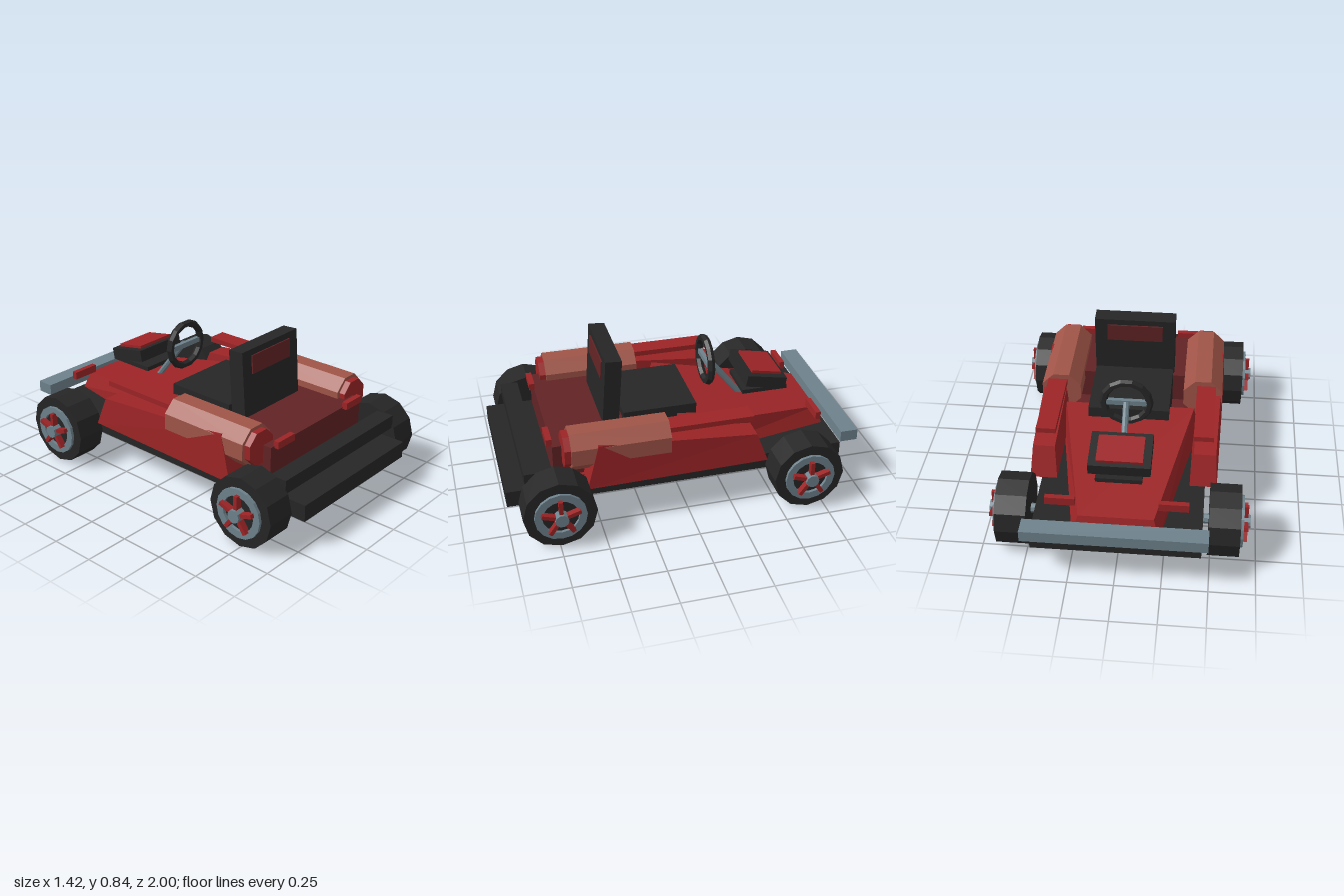
import * as THREE from 'three';

const paint = (name, color) => new THREE.MeshStandardMaterial({ name, color, flatShading: true });

export function createModel() {
  const red = paint('red', 0x9c2426);
  const darkRed = paint('dark red', 0x622325);
  const salmon = paint('faded red', 0xa05447);
  const black = paint('black', 0x262626);
  const grey = paint('steel grey', 0x6e828c);
  const kart = new THREE.Group();
  kart.name = 'goKart';

  const add = (name, geo, mat, x = 0, y = 0, z = 0, parent = kart) => {
    const m = new THREE.Mesh(geo, mat);
    m.name = name;
    m.position.set(x, y, z);
    parent.add(m);
    return m;
  };
  // Box given by its limits on each axis
  const box = (name, mat, [x0, x1], [y0, y1], [z0, z1], parent = kart) =>
    add(name, new THREE.BoxGeometry(x1 - x0, y1 - y0, z1 - z0), mat,
      (x0 + x1) / 2, (y0 + y1) / 2, (z0 + z1) / 2, parent);
  // Six-sided block whose corners are placed by a rule of its unit-box corner signs
  const block = (name, mat, rule) => {
    const geo = new THREE.BoxGeometry(2, 2, 2);
    const p = geo.attributes.position;
    for (let i = 0; i < p.count; i++) p.setXYZ(i, ...rule(p.getX(i), p.getY(i), p.getZ(i)));
    geo.computeVertexNormals();
    return add(name, geo, mat);
  };
  // Cylinder lying along x
  const axial = (name, mat, r, length, sides, x, parent) => {
    const m = add(name, new THREE.CylinderGeometry(r, r, length, sides), mat, x, 0, 0, parent);
    m.rotation.z = -Math.PI / 2;
    return m;
  };

  // Chassis, bumpers and body
  box('chassis', black, [-0.455, 0.455], [0.16, 0.255], [-0.915, 1]);
  box('noseBumper', grey, [-0.49, 0.49], [0.285, 0.35], [-1, -0.9]);
  box('tailBumper', black, [-0.49, 0.49], [0.298, 0.375], [0.8, 0.9]);
  box('bodyBase', red, [-0.42, 0.42], [0.255, 0.275], [0.02, 0.72]);
  box('floor', darkRed, [-0.4, 0.4], [0.275, 0.29], [0, 0.32]);
  box('engineCover', darkRed, [-0.4, 0.4], [0.275, 0.465], [0.3, 0.73]);
  block('nose', red, (sx, sy, sz) => {
    const top = sy > 0;
    if (sz > 0) return [sx * (top ? 0.37 : 0.4), top ? 0.46 : 0.257, top ? -0.01 : 0.04];
    return [sx * (top ? 0.2 : 0.23), top ? 0.355 : 0.257, top ? -0.855 : -0.89];
  });

  for (const s of [1, -1]) {
    const side = s > 0 ? 'left' : 'right';
    const span = (a, b) => (s > 0 ? [a, b] : [-b, -a]);

    // Tapered side pod with the rail above it
    block(side + 'SidePod', red, (sx, sy, sz) => {
      const top = sy > 0, rear = sz > 0, outer = sx * s > 0;
      const x = outer ? (rear ? 0.54 : 0.52) - (top ? 0.012 : 0) : (top ? 0.385 : 0.37);
      const y = top ? (rear ? 0.515 : 0.43) : 0.257;
      const z = rear ? (top ? 0.5 : 0.57) : (top ? -0.39 : -0.455);
      return [s * x, y, z];
    });
    box(side + 'Rail', red, span(0.38, 0.49), [0.51, 0.54], [-0.375, 0.31]);

    // Octagonal tank with its end cap
    const tankParts = [['Tank', salmon, 0.122, 0.1, 0.645], ['TankCap', red, 0.102, 0.6, 0.68]];
    for (const [name, mat, r, z0, z1] of tankParts) {
      const geo = new THREE.CylinderGeometry(r, r, z1 - z0, 8);
      geo.rotateY(Math.PI / 8);
      geo.rotateX(Math.PI / 2);
      add(side + name, geo, mat, s * 0.415, 0.456, (z0 + z1) / 2);
    }

    // Lamps
    box(side + 'HeadLamp', red, span(0.22, 0.38), [0.385, 0.43], [-0.815, -0.785]);
    box(side + 'TailLamp', red, span(0.235, 0.372), [0.455, 0.495], [0.725, 0.757]);

    // Wheels
    for (const [end, z] of [['Nose', -0.655], ['Tail', 0.74]]) {
      const wheel = new THREE.Group();
      wheel.name = side + end + 'Wheel';
      wheel.position.set(0, 0.202, z);
      kart.add(wheel);
      axial('tyre', black, 0.2, 0.17, 12, s * 0.57, wheel);
      const ring = new THREE.Shape().absarc(0, 0, 0.142, 0, Math.PI * 2);
      ring.holes.push(new THREE.Path().absarc(0, 0, 0.1, 0, Math.PI * 2, true));
      const rim = new THREE.ExtrudeGeometry(ring, { depth: 0.02, bevelEnabled: false, curveSegments: 8 });
      rim.rotateY(Math.PI / 2);
      add('rim', rim, grey, s > 0 ? 0.652 : -0.672, 0, 0, wheel);
      axial('hub', grey, 0.037, 0.06, 10, s * 0.68, wheel);
      for (let i = 0; i < 5; i++) {
        const geo = new THREE.BoxGeometry(0.035, 0.09, 0.022);
        geo.translate(0, 0.065, 0);
        geo.rotateX(i * Math.PI * 2 / 5);
        add('spoke', geo, red, s * 0.679, 0, 0, wheel);
      }
    }
  }

  // Axles
  for (const z of [-0.655, 0.74]) axial('axle', grey, 0.027, 1.1, 8, 0, kart).position.set(0, 0.205, z);

  // Seat
  box('seatCushion', black, [-0.23, 0.23], [0.3, 0.51], [-0.12, 0.3]);
  const back = new THREE.Group();
  back.name = 'seatBack';
  back.position.set(0, 0.655, 0.36);
  back.rotation.x = -0.07;
  kart.add(back);
  box('backrest', black, [-0.235, 0.235], [-0.19, 0.187], [-0.046, 0.046], back);
  box('headPad', darkRed, [-0.162, 0.162], [0.047, 0.152], [-0.054, 0.054], back);

  // Steering wheel and column
  add('steeringWheel', new THREE.TorusGeometry(0.128, 0.022, 6, 14), black, 0, 0.65, -0.237);
  box('steeringBar', grey, [-0.12, 0.12], [0.635, 0.665], [-0.25, -0.226]);
  const column = add('steeringColumn', new THREE.CylinderGeometry(0.018, 0.018, 0.34, 8), grey, 0, 0.523, -0.353);
  column.rotation.x = Math.atan2(0.21, 0.265);

  // Dash cowl on the nose
  box('cowlPlate', black, [-0.125, 0.125], [0.46, 0.485], [-0.7, -0.43]);
  const cowl = new THREE.Group();
  cowl.name = 'cowl';
  cowl.position.set(0, 0.543, -0.558);
  cowl.rotation.x = -0.19;
  kart.add(cowl);
  box('cowlBody', black, [-0.167, 0.167], [-0.034, 0.034], [-0.12, 0.12], cowl);
  box('cowlPanel', red, [-0.125, 0.125], [0.03, 0.05], [-0.095, 0.085], cowl);

  return kart;
}
